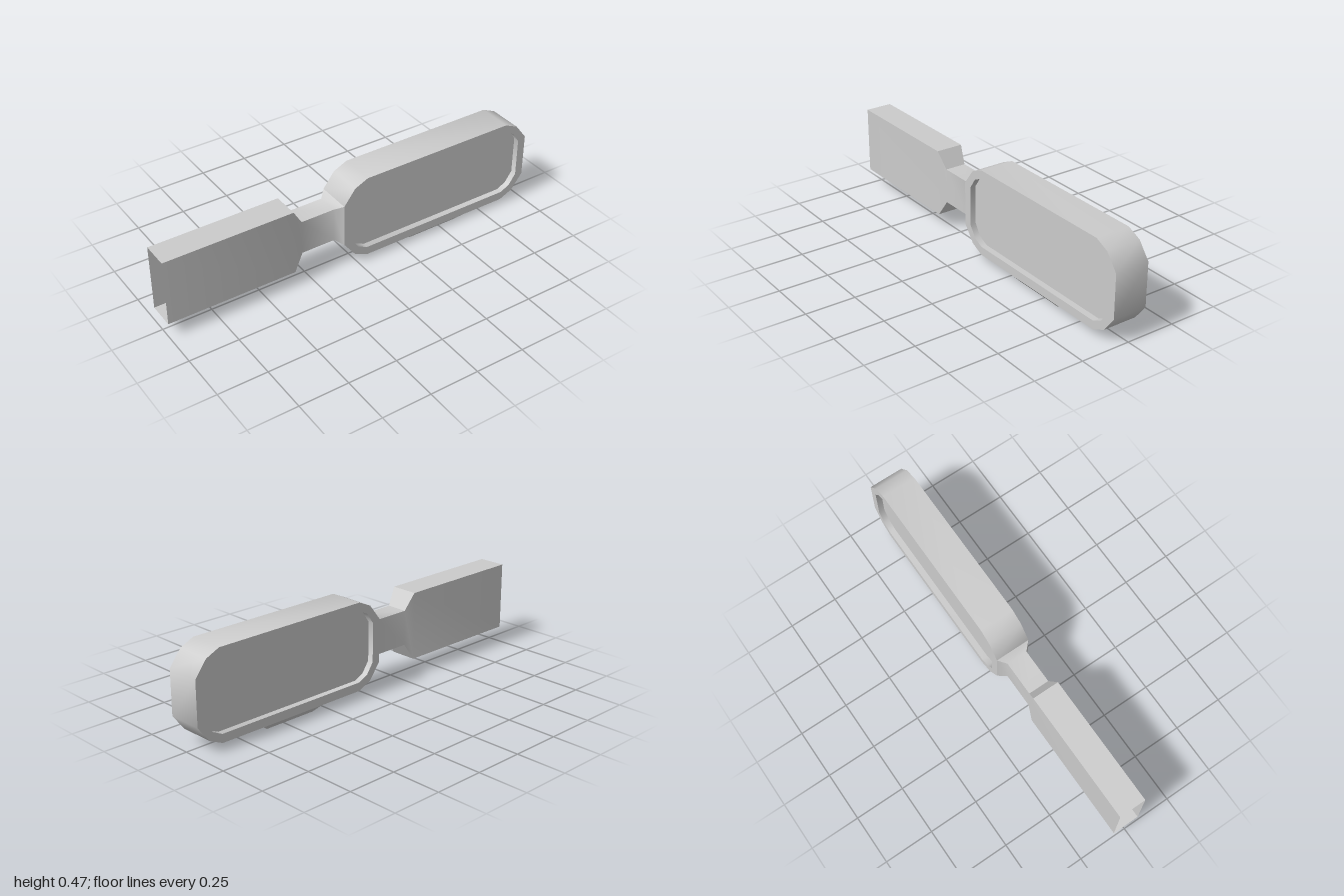
import * as THREE from 'three';
import { toCreasedNormals } from 'three/addons/utils/BufferGeometryUtils.js';

const CREASE = 0.8;
const MID_Y = 0.25;   // height of the long axis
const BODY_X = 0.46;  // middle of the housing

// Mirrors one corner (three points, from the end towards the top) to a full counter-clockwise outline.
function outline(corner) {
  const back = [...corner].reverse();
  const quads = [[1, 1, corner], [-1, 1, back], [-1, -1, corner], [1, -1, back]];
  return quads.flatMap(([sx, sy, pts]) =>
    pts.map(([x, y]) => new THREE.Vector2(BODY_X + sx * x, MID_Y + sy * y)));
}

// Extrudes a shape centred on z = 0.
function slab(shape, depth) {
  const g = new THREE.ExtrudeGeometry(shape, { depth, bevelEnabled: false });
  g.translate(0, 0, -depth / 2);
  return toCreasedNormals(g, CREASE);
}

// Open rectangular tube along x through sections [x, half height, half width].
function rectTube(sections) {
  const pos = [], idx = [];
  for (const [x, h, w] of sections) {
    for (const [sy, sz] of [[1, 1], [-1, 1], [-1, -1], [1, -1]]) pos.push(x, MID_Y + sy * h, sz * w);
  }
  for (let s = 0; s < sections.length - 1; s++) {
    for (let k = 0; k < 4; k++) {
      const a = s * 4 + k, b = s * 4 + (k + 1) % 4;
      idx.push(a, b, b + 4, a, b + 4, a + 4);
    }
  }
  const g = new THREE.BufferGeometry();
  g.setAttribute('position', new THREE.Float32BufferAttribute(pos, 3));
  g.setIndex(idx);
  return toCreasedNormals(g, CREASE);
}

export function createModel() {
  const group = new THREE.Group();
  const grey = new THREE.MeshStandardMaterial({ color: 0xcccccc });
  const greyOpen = new THREE.MeshStandardMaterial({ color: 0xcccccc, side: THREE.DoubleSide });
  const add = (name, geometry, material = grey) => {
    const mesh = new THREE.Mesh(geometry, material);
    mesh.name = name;
    group.add(mesh);
    return mesh;
  };

  // Housing rim around the recessed panels
  const inner = outline([[0.498, 0.098], [0.46, 0.153], [0.41, 0.177]]);
  const rim = new THREE.Shape(outline([[0.54, 0.11], [0.48, 0.188], [0.41, 0.22]]));
  rim.holes.push(new THREE.Path(inner));
  add('housingRim', slab(rim, 0.176));

  // Core whose faces form the recessed panels on both sides
  add('recessedPanel', slab(new THREE.Shape(inner), 0.116));

  // Hollow plug sleeve, narrowing to the neck and flaring into the housing
  add('plugAndNeck', rectTube([
    [-1, 0.17, 0.068],
    [-0.34, 0.17, 0.068],
    [-0.29, 0.088, 0.053],
    [-0.115, 0.088, 0.053],
    [-0.08, 0.11, 0.088],
  ]), greyOpen);

  // Tapered button under the housing
  const button = new THREE.BoxGeometry(0.33, 0.03, 0.176);
  const p = button.attributes.position;
  for (let i = 0; i < p.count; i++) {
    if (p.getY(i) < 0) {
      p.setX(i, Math.sign(p.getX(i)) * 0.138);
      p.setZ(i, Math.sign(p.getZ(i)) * 0.06);
    }
  }
  add('bottomButton', toCreasedNormals(button, 0.3)).position.set(BODY_X, 0.015, 0);

  return group;
}
